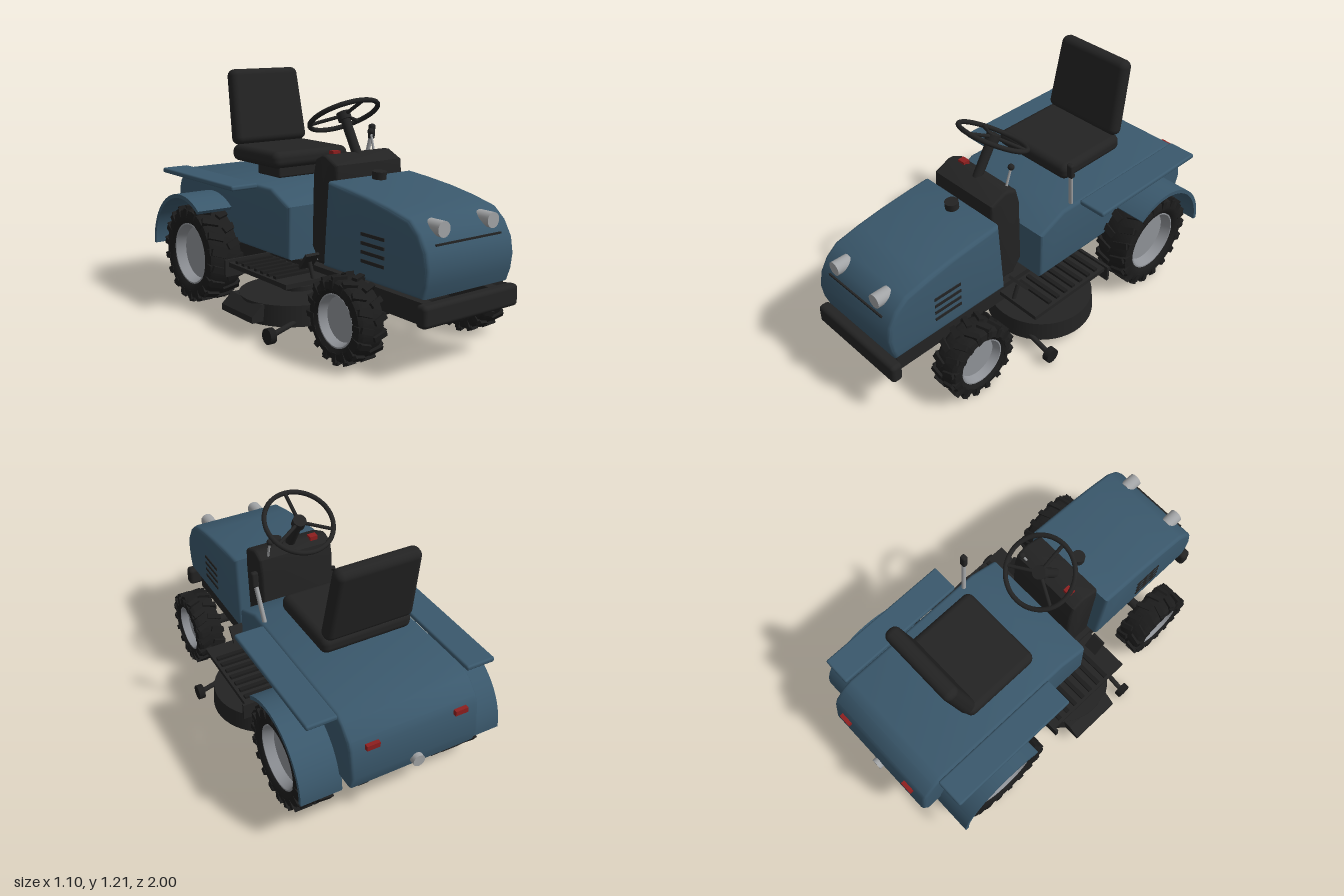
import * as THREE from 'three';
import { mergeGeometries, toCreasedNormals } from 'three/addons/utils/BufferGeometryUtils.js';
import { RoundedBoxGeometry } from 'three/addons/geometries/RoundedBoxGeometry.js';

const paint = (name, color) => Object.assign(new THREE.MeshStandardMaterial({ color }), { name });
const V = (x, y, z) => new THREE.Vector3(x, y, z);

export function createModel() {
  const model = new THREE.Group();
  model.name = 'ridingMower';
  const blue = paint('blue paint', 0x3a586c);
  const black = paint('black plastic', 0x232323);
  const rubber = paint('tyre rubber', 0x1c1c1c);
  const grey = paint('rim grey', 0x8f9297);
  const chrome = paint('light metal', 0xa2a4a6);
  const red = paint('red lens', 0x8e1f1f);

  const add = (name, geo, mat, x = 0, y = 0, z = 0, parent = model) => {
    const m = new THREE.Mesh(geo, mat);
    m.name = name;
    m.position.set(x, y, z);
    parent.add(m);
    return m;
  };
  const box = (name, w, h, d, mat, x, y, z) => add(name, new THREE.BoxGeometry(w, h, d), mat, x, y, z);
  const soft = (name, w, h, d, r, mat, x, y, z) => add(name, new RoundedBoxGeometry(w, h, d, 3, r), mat, x, y, z);
  // Cylinder between two points
  const rod = (name, a, b, r, mat, parent = model, sides = 20) => {
    const dir = b.clone().sub(a);
    const m = add(name, new THREE.CylinderGeometry(r, r, dir.length(), sides), mat, 0, 0, 0, parent);
    m.position.copy(a).add(b).multiplyScalar(0.5);
    m.quaternion.setFromUnitVectors(V(0, 1, 0), dir.normalize());
    return m;
  };
  // Side profile of [z, y] points, extruded across the width
  const across = (name, shape, width, bevel, mat, x = 0) => {
    if (Array.isArray(shape)) shape = new THREE.Shape(shape.map(([z, y]) => new THREE.Vector2(z, y)));
    const g = new THREE.ExtrudeGeometry(shape, {
      depth: width - 2 * bevel, bevelEnabled: bevel > 0, bevelSize: bevel, bevelThickness: bevel,
      bevelOffset: -bevel, bevelSegments: 4, curveSegments: 32,
    });
    g.translate(0, 0, bevel - width / 2).rotateY(-Math.PI / 2);
    return add(name, toCreasedNormals(g, 0.6), mat, x);
  };

  // Bodywork
  across('hood', [[0.285, 0.343], [0.955, 0.343], [0.975, 0.4], [0.985, 0.47], [0.972, 0.545], [0.93, 0.615],
    [0.87, 0.665], [0.74, 0.695], [0.6, 0.718], [0.45, 0.735], [0.32, 0.746]], 0.52, 0.02, blue);
  across('dashboard', [[0.17, 0.33], [0.285, 0.335], [0.315, 0.74], [0.31, 0.81], [0.225, 0.848], [0.2, 0.848],
    [0.15, 0.825], [0.13, 0.75], [0.118, 0.4]], 0.4, 0.015, black);
  across('rearBody', [[0.115, 0.343], [0.115, 0.6], [-0.04, 0.67], [-0.83, 0.67], [-0.88, 0.645], [-0.94, 0.59],
    [-0.955, 0.55], [-0.978, 0.41], [-0.96, 0.343]], 0.66, 0.018, blue);

  // Hood details
  const cap = add('fuelCap', new THREE.CylinderGeometry(0.034, 0.034, 0.045, 24), black, 0, 0.754, 0.38);
  cap.rotation.x = 0.08;
  box('grilleLine', 0.385, 0.008, 0.009, black, 0, 0.566, 0.961);
  for (const s of [-1, 1]) {
    rod('headlight', V(s * 0.145, 0.627, 0.88), V(s * 0.145, 0.627, 0.962), 0.035, chrome, model, 28);
    for (let i = 0; i < 4; i++) box('hoodVent', 0.008, 0.015, 0.155, black, s * 0.26, 0.432 + i * 0.04, 0.645);
    // Fender deck and rear fender arch
    soft('fenderDeck', 0.15, 0.026, 0.71, 0.01, blue, s * 0.405, 0.667, -0.5);
    const arch = new THREE.Shape();
    const a0 = THREE.MathUtils.degToRad(54);
    arch.absarc(-0.58, 0.268, 0.31, a0, Math.PI, false);
    arch.absarc(-0.58, 0.268, 0.29, Math.PI, a0, true);
    across('rearFender', arch, 0.205, 0, blue, s * 0.423);
    box('tailLight', 0.065, 0.026, 0.02, red, s * 0.225, 0.56, -0.956 - 0.012);
  }
  rod('hitchKnob', V(0, 0.39, -0.95), V(0, 0.39, -1), 0.03, chrome);

  // Frame, bumper and axles
  soft('frontBumper', 0.565, 0.1, 0.06, 0.02, black, 0, 0.28, 0.97);
  for (const s of [-1, 1]) {
    box('frameRail', 0.05, 0.097, 1.79, black, s * 0.195, 0.267, 0.03);
    for (const z of [0.4, -0.1, -0.75]) box('bodyMount', 0.04, 0.04, 0.04, black, s * 0.195, 0.33, z);
    box('bumperBracket', 0.04, 0.06, 0.05, black, s * 0.195, 0.27, 0.935);
  }
  rod('frontAxle', V(-0.36, 0.197, 0.605), V(0.36, 0.197, 0.605), 0.025, black);
  rod('rearAxle', V(-0.4, 0.258, -0.575), V(0.4, 0.258, -0.575), 0.03, black);

  // Wheels: lathed tyre with two staggered rows of slanted lugs
  const wheel = (name, r, w, rimR, lugs, x, y, z) => {
    const g = new THREE.Group();
    g.name = name;
    g.position.set(x, y, z);
    model.add(g);
    const h = w / 2, rt = r - 0.014;
    const lathe = (pts) => toCreasedNormals(
      new THREE.LatheGeometry(pts.map(([a, b]) => new THREE.Vector2(a, b)), 48).rotateZ(-Math.PI / 2), 0.6);
    const tyre = lathe([[rimR, -h * 0.75], [rimR + 0.015, -h * 0.9], [rt - 0.04, -h * 0.97], [rt - 0.012, -h * 0.88],
      [rt, -h * 0.65], [rt, h * 0.65], [rt - 0.012, h * 0.88], [rt - 0.04, h * 0.97], [rimR + 0.015, h * 0.9],
      [rimR, h * 0.75], [rimR, -h * 0.75]]);
    const parts = [tyre];
    for (let i = 0; i < lugs; i++) for (const s of [-1, 1]) {
      const lug = new THREE.BoxGeometry(h * 0.85, 0.024, r * 0.13).toNonIndexed();
      lug.rotateY(s * 0.35).translate(s * h * 0.48, r - 0.013, 0);
      lug.rotateX((i + (s > 0 ? 0.5 : 0)) / lugs * Math.PI * 2);
      const shoulder = new THREE.BoxGeometry(h * 0.16, 0.045, r * 0.12).toNonIndexed();
      shoulder.translate(s * h * 0.9, r - 0.038, -h * 0.12);
      shoulder.rotateX((i + (s > 0 ? 0.5 : 0)) / lugs * Math.PI * 2);
      parts.push(lug, shoulder);
    }
    add('tyre', mergeGeometries(parts), rubber, 0, 0, 0, g);
    add('rim', lathe([[0, -h * 0.3], [rimR * 0.86, -h * 0.3], [rimR * 0.97, -h * 0.8], [rimR + 0.003, -h * 0.8],
      [rimR + 0.003, h * 0.8], [rimR * 0.97, h * 0.8], [rimR * 0.86, h * 0.3], [0, h * 0.3]]), grey, 0, 0, 0, g);
  };
  for (const s of [-1, 1]) {
    wheel('frontWheel', 0.197, 0.155, 0.118, 16, s * 0.373, 0.199, 0.605);
    wheel('rearWheel', 0.256, 0.2, 0.158, 18, s * 0.4, 0.26, -0.575);
  }

  // Footboards, mud flaps and pedals
  for (const s of [-1, 1]) {
    box('footboard', 0.27, 0.022, 0.51, black, s * 0.33, 0.277, 0.03);
    for (let i = 0; i < 7; i++) box('footboardRib', 0.21, 0.014, 0.022, rubber, s * 0.345, 0.294, -0.16 + i * 0.055);
    box('mudFlap', 0.27, 0.085, 0.015, black, s * 0.35, 0.258, -0.217);
    const pedal = box('pedal', 0.075, 0.015, 0.09, black, s * 0.3, 0.365, 0.235);
    pedal.rotation.x = -0.9 + Math.PI;
    rod('pedalArm', V(s * 0.3, 0.28, 0.27), V(s * 0.3, 0.36, 0.24), 0.01, black);
  }

  // Mower deck with two lobes, side chute, pulleys and gauge wheels
  for (const s of [-1, 1]) {
    add('deckLobe', new THREE.CylinderGeometry(0.262, 0.27, 0.1, 48), black, s * 0.25, 0.117, 0.03);
    add('deckPulley', new THREE.CylinderGeometry(0.085, 0.085, 0.022, 32), black, s * 0.22, 0.188, 0.03);
    rod('pulleyShaft', V(s * 0.22, 0.16, 0.03), V(s * 0.22, 0.205, 0.03), 0.03, black);
    rod('deckLink', V(s * 0.17, 0.165, 0.18), V(s * 0.17, 0.23, 0.14), 0.008, chrome);
    rod('gaugeWheel', V(s * 0.515, 0.05, 0.245), V(s * 0.547, 0.05, 0.245), 0.038, rubber, model, 24);
    rod('gaugeAxle', V(s * 0.38, 0.09, 0.245), V(s * 0.52, 0.05, 0.245), 0.013, black);
  }
  box('deckCentre', 0.5, 0.1, 0.46, black, 0, 0.117, 0.03);
  const chute = new THREE.Shape([[-0.4, 0.085], [-0.4, 0.165], [-0.5, 0.165], [-0.557, 0.115], [-0.557, 0.085]]
    .map(([x, y]) => new THREE.Vector2(x, y)));
  add('dischargeChute', new THREE.ExtrudeGeometry(chute, { depth: 0.27, bevelEnabled: false }), black, 0, 0, -0.13);

  // Seat, with a backrest that narrows toward the top
  soft('seatBase', 0.28, 0.07, 0.2, 0.01, black, 0, 0.705, -0.34);
  soft('seatCushion', 0.465, 0.085, 0.415, 0.035, black, 0, 0.778, -0.345);
  const back = new RoundedBoxGeometry(0.455, 0.395, 0.078, 4, 0.035);
  const p = back.attributes.position;
  for (let i = 0; i < p.count; i++) p.setX(i, p.getX(i) * (0.96 - p.getY(i) * 0.2));
  add('seatBack', back, black, 0, 1.012, -0.565).rotation.x = -0.18;

  // Steering column and wheel
  rod('steeringColumn', V(0, 0.82, 0.225), V(0, 1.0, 0.12), 0.024, black);
  const steering = new THREE.Group();
  steering.name = 'steeringWheel';
  steering.position.set(0, 1.012, 0.112);
  steering.rotation.x = -2.09;
  model.add(steering);
  add('steeringRim', new THREE.TorusGeometry(0.172, 0.012, 10, 48), black, 0, 0, 0, steering);
  rod('steeringHub', V(0, 0, -0.025), V(0, 0, 0.015), 0.034, black, steering);
  for (let i = 0; i < 3; i++) {
    const a = -Math.PI / 2 + i * Math.PI * 2 / 3;
    rod('steeringSpoke', V(0, 0, 0), V(Math.cos(a) * 0.17, Math.sin(a) * 0.17, 0), 0.009, black, steering, 10);
  }

  // Levers and switch
  rod('liftLever', V(0.303, 0.65, -0.115), V(0.327, 0.87, -0.074), 0.011, chrome);
  soft('liftLeverGrip', 0.034, 0.078, 0.028, 0.01, black, 0.329, 0.893, -0.071).rotation.x = 0.1;
  rod('throttleLever', V(0.145, 0.82, 0.17), V(0.147, 0.92, 0.14), 0.006, chrome);
  add('throttleKnob', new THREE.SphereGeometry(0.016, 16, 12), black, 0.147, 0.926, 0.138);
  box('dashSwitch', 0.042, 0.022, 0.035, red, -0.118, 0.85, 0.195);
  return model;
}
